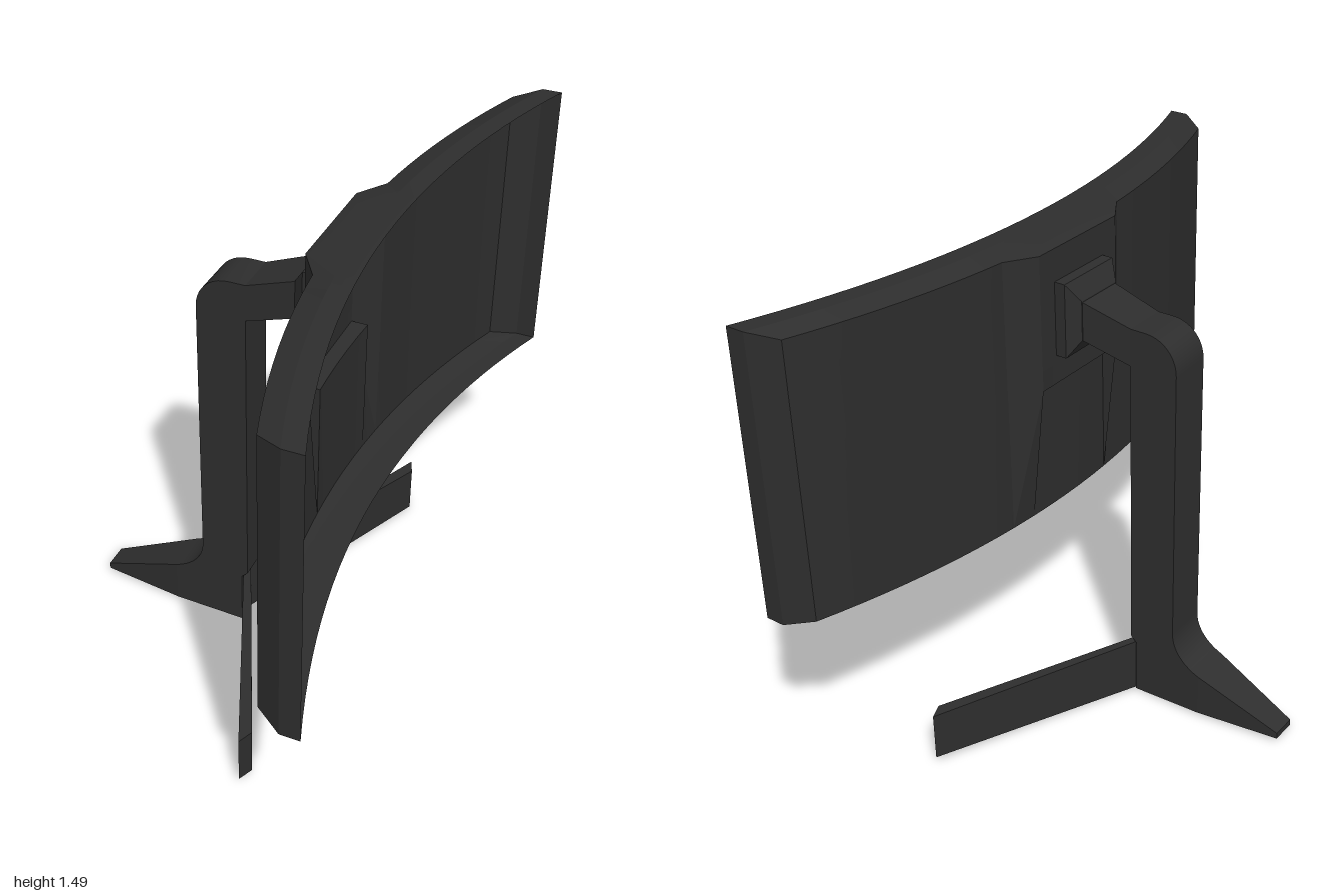
import * as THREE from 'three';
import { toCreasedNormals } from 'three/addons/utils/BufferGeometryUtils.js';

const clamp = THREE.MathUtils.clamp, lerp = THREE.MathUtils.lerp;
const CENTRE = 0.012; // the stand sits slightly off the screen's middle

// Collects quads and triangles given as [x, y, z] corners
function faceSet() {
  const pos = [];
  return {
    tri(a, b, c) { pos.push(...a, ...b, ...c); },
    quad(a, b, c, d) { pos.push(...a, ...b, ...c, ...a, ...c, ...d); },
    geometry() {
      const g = new THREE.BufferGeometry();
      g.setAttribute('position', new THREE.Float32BufferAttribute(pos, 3));
      g.computeVertexNormals();
      return toCreasedNormals(g, 0.25);
    },
  };
}

// Side profile extruded across z, with half width and middle given per x
function slab(shape, half, mid = () => CENTRE) {
  const g = new THREE.ExtrudeGeometry(shape, { depth: 1, bevelEnabled: false, curveSegments: 10 });
  const p = g.attributes.position;
  for (let i = 0; i < p.count; i++) {
    const x = p.getX(i);
    p.setZ(i, mid(x) + (p.getZ(i) > 0.5 ? 1 : -1) * half(x));
  }
  g.deleteAttribute('normal');
  g.computeVertexNormals();
  return toCreasedNormals(g, 0.5);
}

const polygon = pts => new THREE.Shape(pts.map(p => new THREE.Vector2(...p)));

// Curved housing, open on the viewing side
const TOP = 1.47, BOTTOM = 0.61, NOTCH = 1.05;
const base = z => 0.235 + 0.183 * z * z;
function backX(z, y) {
  const bulge = clamp((0.27 - Math.abs(z)) / 0.09, 0, 1);
  const rise = clamp((y - BOTTOM) / (NOTCH - BOTTOM), 0, 1);
  return lerp(base(z), 0.19, bulge * rise);
}

function housing() {
  const f = faceSet();
  const half = [0.115, 0.18, 0.27];
  for (let i = 1; i <= 10; i++) half.push(0.27 + 0.068 * i);
  const zs = [...half.map(z => -z).reverse(), -0.04, 0.04, ...half].sort((a, b) => a - b);
  const ys = [BOTTOM, NOTCH, 1.14, 1.37, TOP];
  const P = (z, y) => [backX(z, y), y, z];
  const F = (z, y) => [base(z), y, z];

  for (let i = 0; i < zs.length - 1; i++) {
    const a = zs[i], b = zs[i + 1], m = Math.abs(a + b) / 2;
    for (let j = 0; j < ys.length - 1; j++) {
      const y0 = ys[j], y1 = ys[j + 1];
      if (j === 2 && m < 0.115) continue; // opening for the mount
      if (j === 0 && m < 0.18) { // cable recess floor and top wall
        f.quad(F(a, y0), F(b, y0), F(b, y1), F(a, y1));
        f.quad(P(a, y1), F(a, y1), F(b, y1), P(b, y1));
      } else f.quad(P(a, y0), P(b, y0), P(b, y1), P(a, y1));
    }
  }
  // Recess side walls
  f.tri(P(0.18, NOTCH), F(0.18, NOTCH), F(0.18, BOTTOM));
  f.tri(P(-0.18, NOTCH), F(-0.18, BOTTOM), F(-0.18, NOTCH));

  // Bevelled edge and outer rim around the back
  const loop = fn => [...zs.map(z => fn(z, true)), ...[...zs].reverse().map(z => fn(z, false))];
  const rim = depth => loop((z, up) => {
    const zr = z / 0.95;
    return [0.36 + 0.18 * zr * zr - depth, up ? 1.49 : 0.595, zr];
  });
  const rings = [loop((z, up) => P(z, up ? TOP : BOTTOM)), rim(0.06), rim(0)];
  for (let r = 0; r < 2; r++) {
    const a = rings[r], b = rings[r + 1];
    a.forEach((p, i) => {
      const k = (i + 1) % a.length;
      f.quad(p, a[k], b[k], b[i]);
    });
  }
  return f.geometry();
}

// Square collar joining the mount to the housing
function collar() {
  const f = faceSet();
  const c = [[1.37, -0.115], [1.37, 0.115], [1.14, 0.115], [1.14, -0.115]];
  c.forEach((p, i) => {
    const q = c[(i + 1) % 4];
    f.quad([0.155, ...p], [0.155, ...q], [0.19, ...q], [0.19, ...p]);
  });
  return f.geometry();
}

// Tapered block behind the collar
function mountBlock() {
  const g = new THREE.BoxGeometry(0.035, 0.23, 0.23).toNonIndexed();
  const p = g.attributes.position;
  for (let i = 0; i < p.count; i++) {
    if (p.getX(i) < 0) p.setXYZ(i, p.getX(i), p.getY(i) * 0.53, p.getZ(i) * 0.72);
  }
  g.translate(0.1375, 1.255, 0);
  g.computeVertexNormals();
  return g;
}

// Thin front leg; the lower edge rises toward the tip
function leg(side) {
  const plan = polygon([[-0.05, 0], [0.255, 0.66], [0.235, 0.708], [-0.075, 0]]
    .map(([x, z]) => [x, -side * z]));
  const g = new THREE.ExtrudeGeometry(plan, { depth: 0.18, bevelEnabled: false });
  g.rotateX(-Math.PI / 2);
  const p = g.attributes.position;
  for (let i = 0; i < p.count; i++) {
    if (p.getY(i) < 0.09) p.setY(i, 0.025 * Math.abs(p.getZ(i)) / 0.7);
  }
  g.translate(0, 0, CENTRE);
  g.computeVertexNormals();
  return g;
}

export function createModel() {
  const model = new THREE.Group();
  model.name = 'curvedMonitor';
  const charcoal = new THREE.MeshStandardMaterial({ color: 0x2d2d2d, side: THREE.DoubleSide });
  charcoal.name = 'charcoal plastic';
  const add = (name, geometry) => {
    const mesh = new THREE.Mesh(geometry, charcoal);
    mesh.name = name;
    model.add(mesh);
  };

  add('screenHousing', housing());
  add('mountCollar', collar());
  add('mountBlock', mountBlock());

  // Upright with a rounded shoulder and a curved foot root
  const column = new THREE.Shape();
  column.moveTo(-0.28, 0.008);
  column.lineTo(-0.05, 0);
  column.lineTo(-0.05, 0.18);
  column.lineTo(-0.03, 0.2);
  column.lineTo(-0.03, 1.262);
  column.lineTo(-0.08, 1.262);
  column.bezierCurveTo(-0.14, 1.262, -0.185, 1.217, -0.185, 1.157);
  column.lineTo(-0.185, 0.27);
  column.bezierCurveTo(-0.185, 0.215, -0.22, 0.17, -0.28, 0.147);
  add('column', slab(column, () => 0.07));

  // Arm reaching to the mount
  add('arm', slab(
    polygon([[-0.03, 1.145], [0.12, 1.192], [0.12, 1.312], [-0.03, 1.262]]),
    x => lerp(0.07, 0.08, (x + 0.03) / 0.15),
    x => lerp(CENTRE, 0, (x + 0.03) / 0.15)));

  // Rear foot narrowing to its tip
  add('rearFoot', slab(
    polygon([[-0.55, 0.012], [-0.28, 0.008], [-0.28, 0.147], [-0.55, 0.032]]),
    x => lerp(0.04, 0.07, (x + 0.55) / 0.27)));

  add('legLeftSide', leg(1));
  add('legRightSide', leg(-1));
  return model;
}
